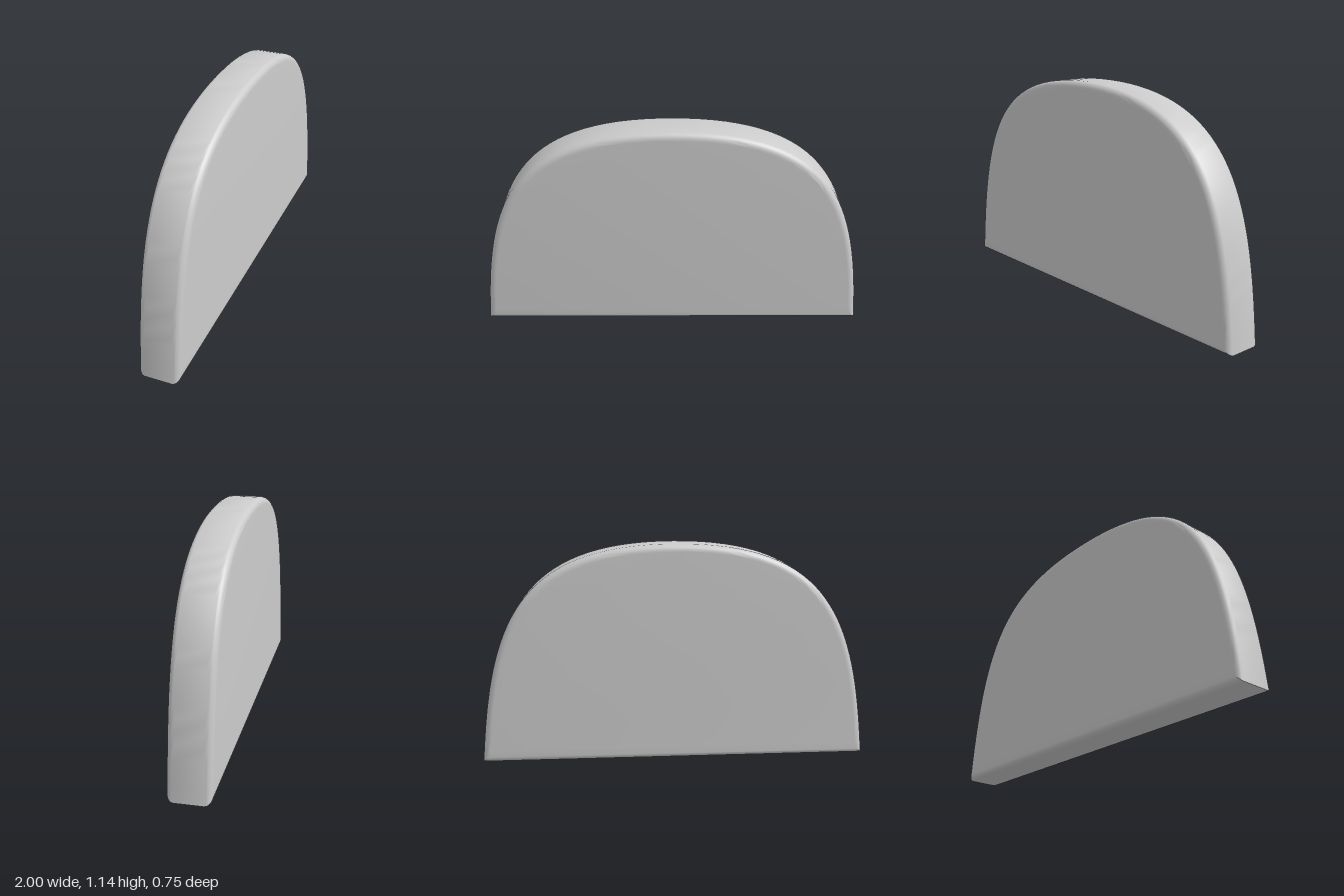
import * as THREE from 'three';
import { toCreasedNormals } from 'three/addons/utils/BufferGeometryUtils.js';

const HALF_WIDTH = 1.02, HEIGHT = 1.145, THICKNESS = 0.212, BEVEL = 0.036;

// Flat-bottomed arch outline
function archShape() {
  const s = new THREE.Shape();
  s.moveTo(-HALF_WIDTH, 0);
  s.lineTo(HALF_WIDTH, 0);
  s.bezierCurveTo(0.955, 0.75, 0.81, HEIGHT, 0, HEIGHT);
  s.bezierCurveTo(-0.81, HEIGHT, -0.955, 0.75, -HALF_WIDTH, 0);
  return s;
}

export function createModel() {
  const group = new THREE.Group();
  group.name = 'archedSlab';

  // Slab with rounded front and back edges, kept inside the outline
  const geometry = new THREE.ExtrudeGeometry(archShape(), {
    depth: THICKNESS - 2 * BEVEL,
    curveSegments: 32,
    bevelEnabled: true,
    bevelThickness: BEVEL,
    bevelSize: BEVEL,
    bevelOffset: -BEVEL,
    bevelSegments: 6,
  });
  geometry.translate(0, 0, -(THICKNESS / 2 - BEVEL));

  const slab = new THREE.Mesh(
    toCreasedNormals(geometry, 0.6),
    new THREE.MeshStandardMaterial({ color: 0xcccccc })
  );
  slab.name = 'slab';
  slab.rotation.y = THREE.MathUtils.degToRad(16); // stands turned
  group.add(slab);
  return group;
}
